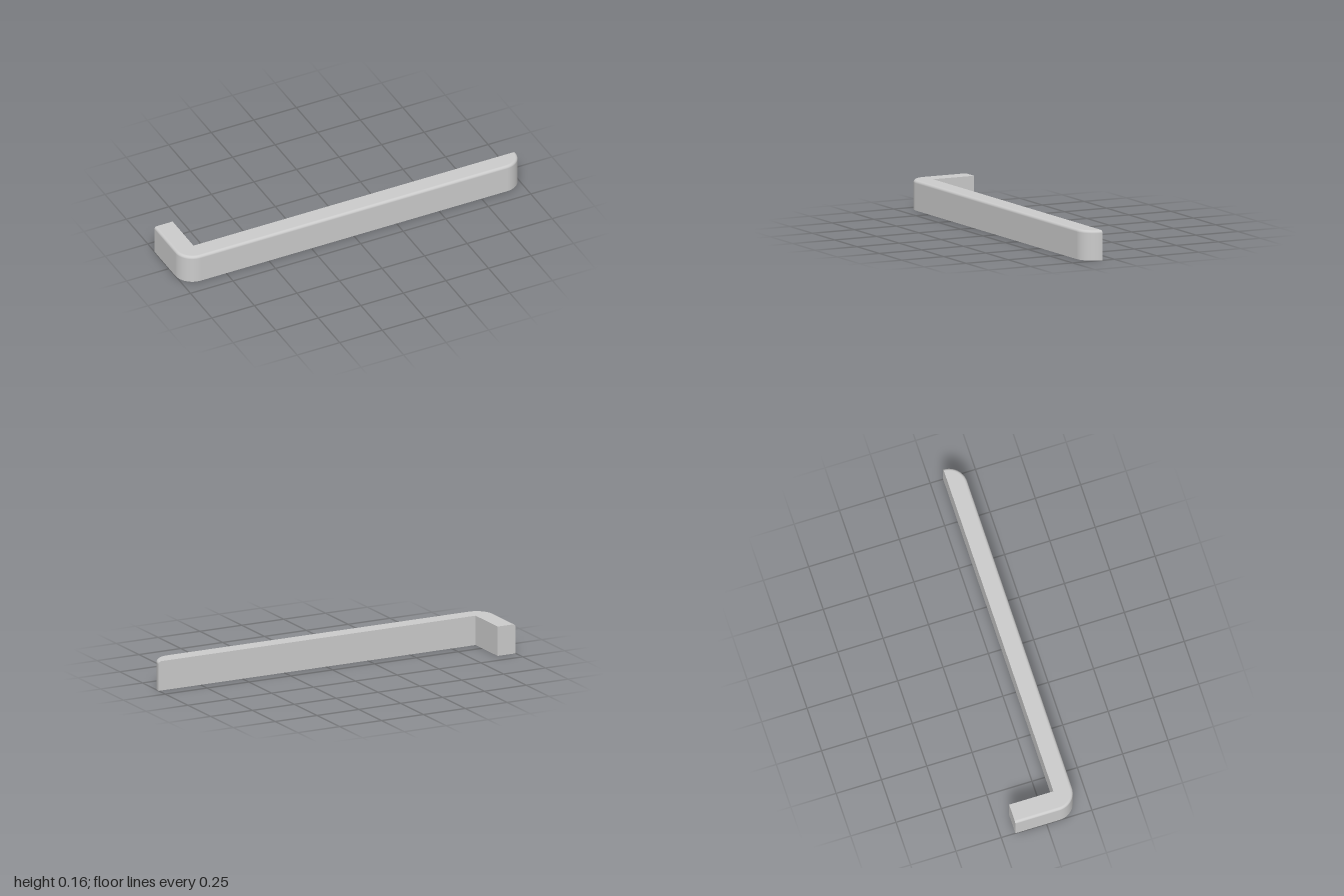
import * as THREE from 'three';
import { mergeGeometries } from 'three/addons/utils/BufferGeometryUtils.js';

const H = 0.16, FILLET = 0.015, CORNER = 0.1;
const BACK = -0.172, INNER_Z = 0.072, INNER_X = -0.893, ARC = 12;

// Outer edge in plan: leg end, left corner, front, right tip; with outward normals
function outerPath() {
  const path = [{ x: -1, z: BACK, nx: -1, nz: 0 }];
  for (const [cx, start] of [[-0.9, Math.PI], [0.9, Math.PI / 2]]) {
    for (let i = 0; i <= ARC; i++) {
      const a = start - (i / ARC) * Math.PI / 2;
      const nx = Math.cos(a), nz = Math.sin(a);
      path.push({ x: cx + CORNER * nx, z: INNER_Z + CORNER * nz, nx, nz });
    }
  }
  return path;
}

// Section of the outer wall: straight up, then a fillet into the top
function wallSection() {
  const section = [{ inset: 0, y: 0, a: 0 }];
  for (let i = 0; i <= 6; i++) {
    const a = (i / 6) * Math.PI / 2;
    section.push({ inset: FILLET * (1 - Math.cos(a)), y: H - FILLET + FILLET * Math.sin(a), a });
  }
  return section;
}

// Sweep the section along the path
function outerWall(path, section) {
  const pos = [], nor = [], idx = [], n = section.length;
  path.forEach((p, i) => section.forEach((s, j) => {
    pos.push(p.x - p.nx * s.inset, s.y, p.z - p.nz * s.inset);
    nor.push(p.nx * Math.cos(s.a), Math.sin(s.a), p.nz * Math.cos(s.a));
    if (i < path.length - 1 && j < n - 1) {
      const a = i * n + j, b = a + n;
      idx.push(a, b, a + 1, b, b + 1, a + 1);
    }
  }));
  const geo = new THREE.BufferGeometry();
  geo.setAttribute('position', new THREE.Float32BufferAttribute(pos, 3));
  geo.setAttribute('normal', new THREE.Float32BufferAttribute(nor, 3));
  geo.setIndex(idx);
  return geo;
}

const flat = (points) => new THREE.ShapeGeometry(new THREE.Shape(points.map(([x, y]) => new THREE.Vector2(x, y))));

// Flat L-shaped cap, facing up (dir 1) or down (dir -1)
function cap(path, inset, y, dir) {
  const outline = path.map((p) => [p.x - p.nx * inset, p.z - p.nz * inset]);
  outline.push([INNER_X, INNER_Z], [INNER_X, BACK]);
  return flat(outline.map(([x, z]) => [x, -dir * z])).rotateX(-dir * Math.PI / 2).translate(0, y, 0);
}

// Rear-facing wall whose outer top corner follows the fillet
function rearWall(sharpX, outerX, z, section) {
  const side = Math.sign(outerX - sharpX);
  const outline = section.map((s) => [-(outerX - side * s.inset), s.y]);
  outline.push([-sharpX, H], [-sharpX, 0]);
  return flat(outline).rotateY(Math.PI).translate(0, 0, z);
}

export function createModel() {
  const path = outerPath(), section = wallSection();
  const parts = [
    outerWall(path, section),
    cap(path, FILLET, H, 1),
    cap(path, 0, 0, -1),
    rearWall(INNER_X, 1, INNER_Z, section),
    rearWall(INNER_X, -1, BACK, section),
    // Inner side of the short leg
    new THREE.PlaneGeometry(INNER_Z - BACK, H).rotateY(Math.PI / 2)
      .translate(INNER_X, H / 2, (INNER_Z + BACK) / 2),
  ];
  parts.forEach((g) => g.deleteAttribute('uv'));

  const bar = new THREE.Mesh(mergeGeometries(parts), new THREE.MeshStandardMaterial({ color: 0xcccccc }));
  bar.name = 'handleBar';
  const model = new THREE.Group();
  model.name = 'handle';
  model.add(bar);
  return model;
}
